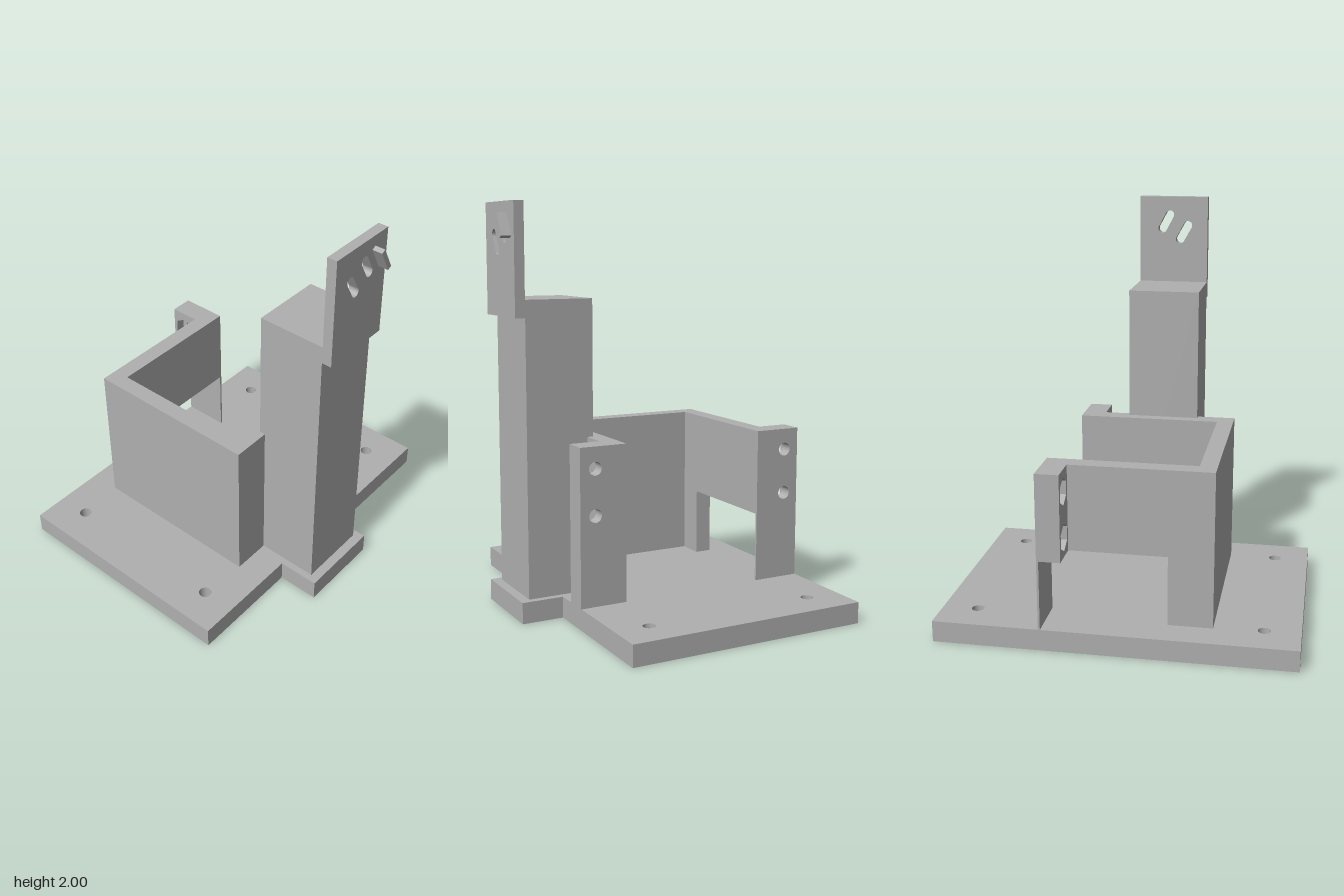
import * as THREE from 'three';

const grey = new THREE.MeshStandardMaterial({ color: 0xb0b0b0 });
grey.name = 'plain grey';

function add(group, name, geometry) {
  const mesh = new THREE.Mesh(geometry, grey);
  mesh.name = name;
  group.add(mesh);
  return mesh;
}

// Box given by its limits on each axis
function block(group, name, [x0, x1], [y0, y1], [z0, z1]) {
  const g = new THREE.BoxGeometry(x1 - x0, y1 - y0, z1 - z0);
  return add(group, name, g.translate((x0 + x1) / 2, (y0 + y1) / 2, (z0 + z1) / 2));
}

const polygon = (points) => new THREE.Shape(points.map(([a, b]) => new THREE.Vector2(a, b)));
const circle = (a, b, r) => new THREE.Path().absarc(a, b, r, 0, Math.PI * 2, true);
const extrude = (shape, depth) =>
  new THREE.ExtrudeGeometry(shape, { depth, bevelEnabled: false, curveSegments: 16 });

// Hexagon with a corner at the top
function hexagon(a, b, r) {
  const points = [];
  for (let i = 0; i < 6; i++) {
    const t = Math.PI / 2 - (i * Math.PI) / 3;
    points.push(new THREE.Vector2(a + r * Math.cos(t), b + r * Math.sin(t)));
  }
  return new THREE.Path(points);
}

// Round-ended slot between two centres
function slot([ax, ay], [bx, by], r) {
  const t = Math.atan2(by - ay, bx - ax);
  const path = new THREE.Path();
  path.absarc(ax, ay, r, t + Math.PI / 2, t + Math.PI * 1.5, false);
  path.absarc(bx, by, r, t - Math.PI / 2, t + Math.PI / 2, false);
  path.closePath();
  return path;
}

const FLOOR = 0.105, TOP = 0.875, CUT = 0.45;

// Base plate with a front tab, corner holes and blind pockets underneath
function addBase(group) {
  const layer = (name, y0, y1, pockets) => {
    const shape = polygon([
      [-0.87, -0.478], [-0.297, -0.478], [-0.297, -0.688], [0.136, -0.688],
      [0.136, -0.478], [0.87, -0.478], [0.87, 0.74], [-0.87, 0.74],
    ]);
    for (const x of [-1, 1]) {
      for (const z of [-1, 1]) {
        shape.holes.push(circle(x * 0.696, 0.131 - z * 0.435, 0.031));
        if (pockets) shape.holes.push(circle(x * 0.17, 0.131 - z * 0.18, 0.075));
      }
    }
    add(group, name, extrude(shape, y1 - y0).rotateX(-Math.PI / 2).translate(0, y0, 0));
  };
  layer('baseUnderside', 0, 0.07, true);
  layer('baseTop', 0.07, FLOOR, false);
}

// One layer of a bolt flange, standing across x with two holes
function flangeLayer(group, name, [x0, x1], y0, [z0, z1], zHole, makeHole, r) {
  const shape = polygon([[-z1, y0], [-z0, y0], [-z0, TOP], [-z1, TOP]]);
  for (const y of [0.545, 0.77]) shape.holes.push(makeHole(-zHole, y, r));
  add(group, name, extrude(shape, x1 - x0).rotateY(Math.PI / 2).translate(x0, 0, 0));
}

// C-shaped holder
function addHolder(group) {
  block(group, 'holderSideWall', [-0.457, -0.373], [FLOOR, TOP], [-0.585, 0.325]);
  block(group, 'holderFrontArm', [-0.373, 0.235], [FLOOR, TOP], [0.24, 0.325]);

  // Rear arm with an opening below
  const arm = polygon([
    [-0.373, FLOOR], [-0.24, FLOOR], [-0.24, CUT], [0.235, CUT], [0.235, TOP], [-0.373, TOP],
  ]);
  add(group, 'holderRearArm', extrude(arm, 0.085).translate(0, 0, -0.585));

  // Flanges: hexagonal nut pockets inside, round holes outside
  const front = [0.24, 0.48], rear = [-0.74, -0.5];
  flangeLayer(group, 'frontFlangeNutSide', [0.235, 0.285], FLOOR, front, 0.402, hexagon, 0.068);
  flangeLayer(group, 'frontFlange', [0.285, 0.35], FLOOR, front, 0.402, circle, 0.033);
  flangeLayer(group, 'rearFlangeNutSide', [0.235, 0.285], CUT, rear, -0.662, hexagon, 0.068);
  flangeLayer(group, 'rearFlange', [0.285, 0.34], CUT, rear, -0.662, circle, 0.033);
  flangeLayer(group, 'rearFlangeSkin', [0.34, 0.35], FLOOR, rear, -0.662, circle, 0.033);
}

// Tower with a slotted head plate
function addTower(group) {
  block(group, 'tower', [-0.262, 0.102], [FLOOR, 1.545], [0.295, 0.64]);

  const plate = polygon([[-0.262, 1.46], [0.102, 1.46], [0.102, 2], [-0.262, 2]]);
  plate.holes.push(slot([-0.156, 1.849], [-0.114, 1.774], 0.023));
  plate.holes.push(slot([-0.058, 1.905], [-0.018, 1.83], 0.023));
  add(group, 'headPlate', extrude(plate, 0.05).translate(0, 0, 0.64));

  // Slanted rib on the plate
  const rib = new THREE.BoxGeometry(0.024, 0.122, 0.05).rotateZ(0.49);
  add(group, 'slantedRib', rib.translate(0.032, 1.888, 0.715));
}

export function createModel() {
  const model = new THREE.Group();
  model.name = 'mountingStand';
  for (const [name, build] of [['base', addBase], ['holder', addHolder], ['towerAssembly', addTower]]) {
    const part = new THREE.Group();
    part.name = name;
    build(part);
    model.add(part);
  }
  return model;
}
